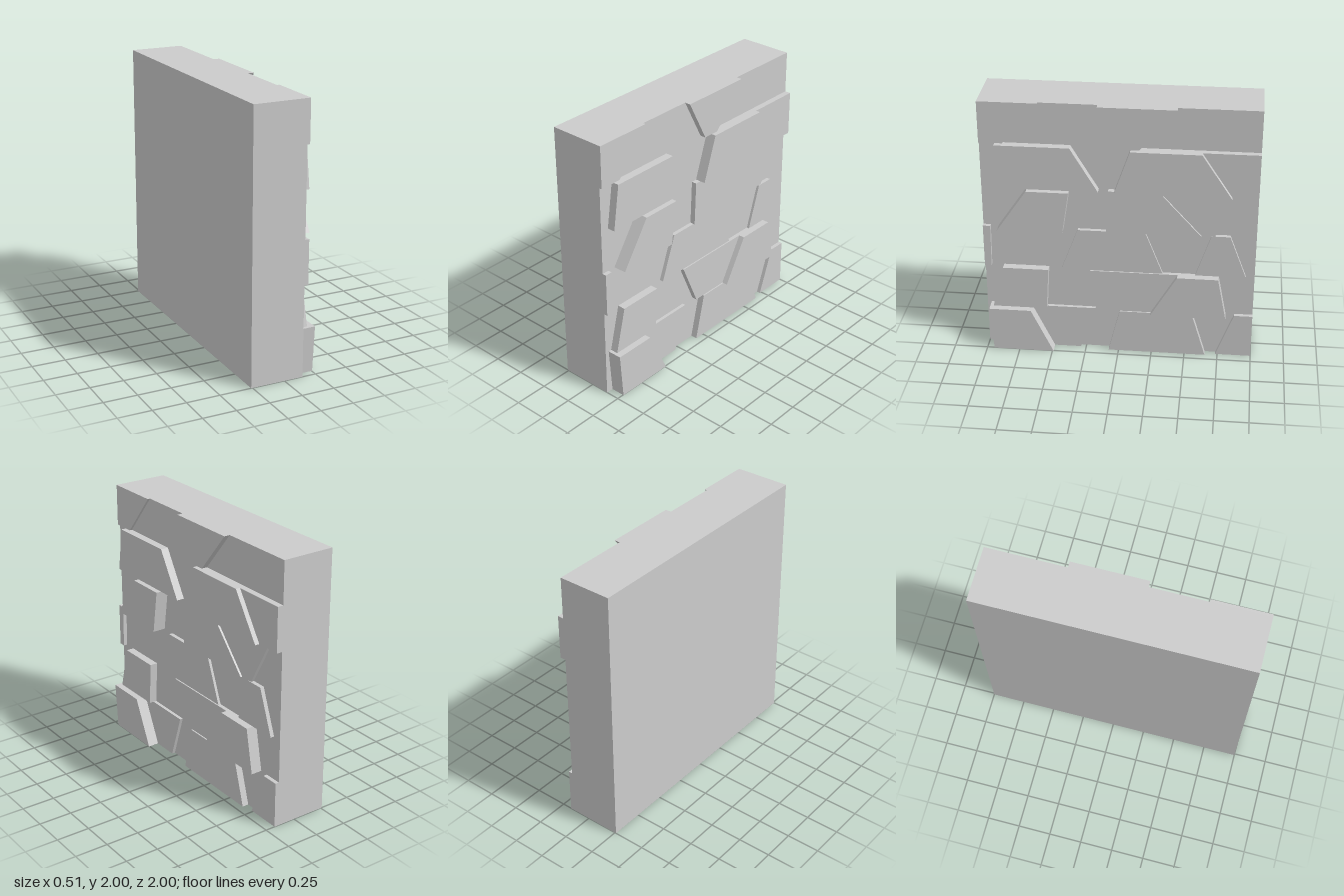
import * as THREE from 'three';

const FACE = 0.145; // x of the flat wall face behind the raised stones
const ROW_Y = [0, 0.35, 0.685, 1.018, 1.35, 1.685, 2];

// Each course, bottom to top; stones as [z top start, z top end, z bottom start, z bottom end, face x]
const COURSES = [
  [
    [0.97, 0.655, 0.945, 0.49, 0.255],
    [0.655, 0.175, 0.49, 0.29, 0.17],
    [-0.01, -0.55, 0.075, -0.655, 0.195],
    [-0.865, -1, -0.735, -1, 0.175],
  ],
  [
    [0.86, 0.52, 0.945, 0.54, 0.205],
    [0.21, -0.435, 0.065, -0.24, 0.185],
    [-0.435, -0.735, -0.24, -0.8, 0.23],
  ],
  [
    [1, 0.945, 1, 0.95, 0.175],
    [0.3, -0.195, 0.425, -0.325, 0.175],
    [-0.195, -0.675, -0.325, -0.565, 0.155],
    [-0.675, -0.81, -0.565, -0.935, 0.175],
  ],
  [
    [0.66, 0.355, 0.885, 0.405, 0.245],
    [0.075, -0.3, 0.09, -0.6, 0.185],
    [-0.3, -0.88, -0.6, -0.7, 0.17],
  ],
  [
    [0.885, 0.345, 0.935, 0.145, 0.205],
    [-0.085, -0.59, 0.03, -0.81, 0.225],
    [-0.59, -1, -0.81, -1, 0.19],
  ],
  [
    [1, 0.57, 1, 0.83, 0.165],
    [0.15, -0.41, -0.015, -0.145, 0.19],
  ],
];

export function createModel() {
  const group = new THREE.Group();
  const material = new THREE.MeshStandardMaterial({ color: 0xcccccc, flatShading: true });

  // Solid wall slab
  const slab = new THREE.Mesh(new THREE.BoxGeometry(FACE + 0.26, 2, 2), material);
  slab.name = 'wallSlab';
  slab.position.set((FACE - 0.26) / 2, 1, 0);
  group.add(slab);

  // Courses of raised, slant-sided stones on the +x face
  COURSES.forEach((stones, row) => {
    const course = new THREE.Group();
    course.name = `stoneCourse${row + 1}`;
    const y0 = ROW_Y[row], y1 = ROW_Y[row + 1];
    stones.forEach(([topA, topB, botA, botB, x], i) => {
      const outline = new THREE.Shape([
        new THREE.Vector2(-botA, y0),
        new THREE.Vector2(-botB, y0),
        new THREE.Vector2(-topB, y1),
        new THREE.Vector2(-topA, y1),
      ]);
      const geometry = new THREE.ExtrudeGeometry(outline, { depth: x - FACE, bevelEnabled: false });
      geometry.rotateY(Math.PI / 2).translate(FACE, 0, 0);
      const stone = new THREE.Mesh(geometry, material);
      stone.name = `stone${i + 1}`;
      course.add(stone);
    });
    group.add(course);
  });

  return group;
}
